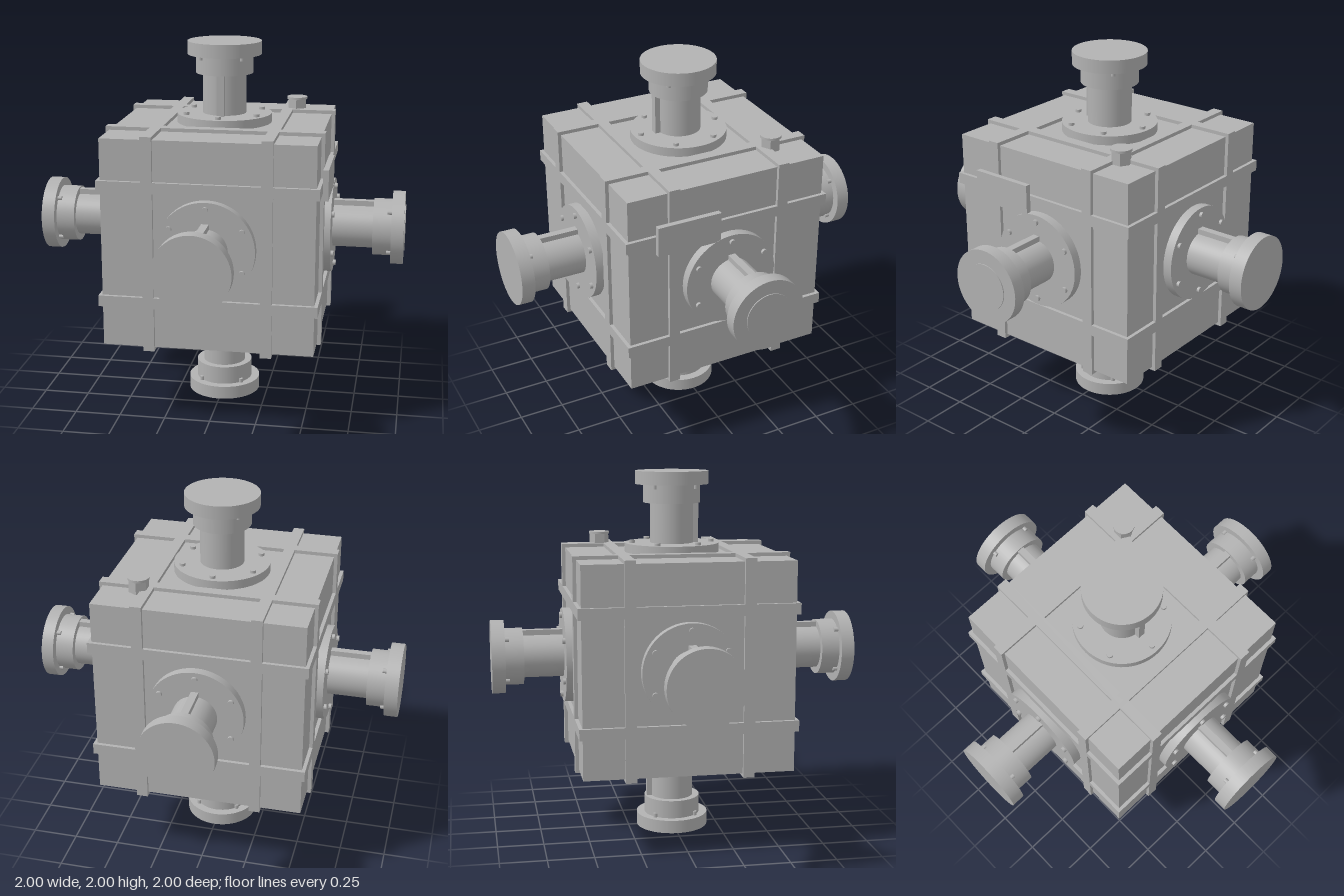
import * as THREE from 'three';

export function createModel() {
  const root = new THREE.Group();
  root.name = 'sixShaftGearbox';
  const grey = new THREE.MeshStandardMaterial({ color: 0xb2b2b2 });
  grey.name = 'machineGrey';

  const add = (parent, name, geometry, x = 0, y = 0, z = 0) => {
    const mesh = new THREE.Mesh(geometry, grey);
    mesh.name = name;
    mesh.position.set(x, y, z);
    parent.add(mesh);
    return mesh;
  };
  // Cylinder along local y between two heights
  const rod = (parent, name, r, y0, y1, x = 0, z = 0, sides = 48) =>
    add(parent, name, new THREE.CylinderGeometry(r, r, y1 - y0, sides), x, (y0 + y1) / 2, z);

  // Housing with six raised belts, two around each axis
  const housing = new THREE.Group();
  housing.name = 'housing';
  housing.position.y = 1;
  root.add(housing);
  add(housing, 'core', new THREE.BoxGeometry(1.122, 1.122, 1.122));
  for (const s of [-0.312, 0.312]) {
    add(housing, 'beltX', new THREE.BoxGeometry(0.06, 1.16, 1.16), s, 0, 0);
    add(housing, 'beltY', new THREE.BoxGeometry(1.16, 0.06, 1.16), 0, s, 0);
    add(housing, 'beltZ', new THREE.BoxGeometry(1.16, 1.16, 0.06), 0, 0, s);
  }

  // One flanged shaft pointing along local +y, with its key on local +z
  const makeShaft = (name, proudEnd) => {
    const g = new THREE.Group();
    g.name = name;
    rod(g, 'flange', 0.258, 0.55, 0.61, 0, 0, 64);
    rod(g, 'shaft', 0.118, 0.6, 0.84);
    rod(g, 'hub', 0.155, 0.828, 0.94);
    rod(g, 'endDisc', 0.2, 0.928, proudEnd ? 0.995 : 1, 0, 0, 64);
    if (proudEnd) rod(g, 'shaftEnd', 0.125, 0.99, 1);
    add(g, 'key', new THREE.BoxGeometry(0.04, 0.225, 0.05), 0, 0.718, 0.12);
    for (let i = 0; i < 6; i++) {
      const a = (i * Math.PI) / 3;
      rod(g, 'flangeBolt', 0.016, 0.605, 0.625, 0.22 * Math.sin(a), 0.22 * Math.cos(a), 16);
    }
    for (let i = 0; i < 4; i++) {
      const a = Math.PI / 4 + (i * Math.PI) / 2;
      rod(g, 'hubBolt', 0.012, 0.905, 0.932, 0.158 * Math.sin(a), 0.158 * Math.cos(a), 12);
    }
    return g;
  };

  // Shaft direction and the side its key faces
  const X = new THREE.Vector3(1, 0, 0), Y = new THREE.Vector3(0, 1, 0), Z = new THREE.Vector3(0, 0, 1);
  const shafts = [
    ['leftShaft', X, Y, true],
    ['rightShaft', X.clone().negate(), Y],
    ['topShaft', Y, Z],
    ['bottomShaft', Y.clone().negate(), Z.clone().negate()],
    ['frontShaft', Z, Y],
    ['backShaft', Z.clone().negate(), Y],
  ];
  for (const [name, out, key, proudEnd] of shafts) {
    const g = makeShaft(name, !!proudEnd);
    const side = new THREE.Vector3().crossVectors(out, key);
    g.quaternion.setFromRotationMatrix(new THREE.Matrix4().makeBasis(side, out, key));
    g.position.y = 1;
    root.add(g);
  }

  // Rating plate on the left side
  add(root, 'ratingPlate', new THREE.BoxGeometry(0.029, 0.165, 0.353), 0.594, 1.322, 0.24);

  // Breather plug: hexagonal body with a round cap
  const plug = new THREE.Group();
  plug.name = 'breatherPlug';
  plug.position.set(0.358, 0, -0.36);
  root.add(plug);
  const hex = new THREE.CylinderGeometry(0.054, 0.054, 0.08, 6).toNonIndexed();
  hex.computeVertexNormals();
  add(plug, 'plugBody', hex, 0, 1.595, 0);
  rod(plug, 'plugCap', 0.057, 1.63, 1.643, 0, 0, 32);

  return root;
}
